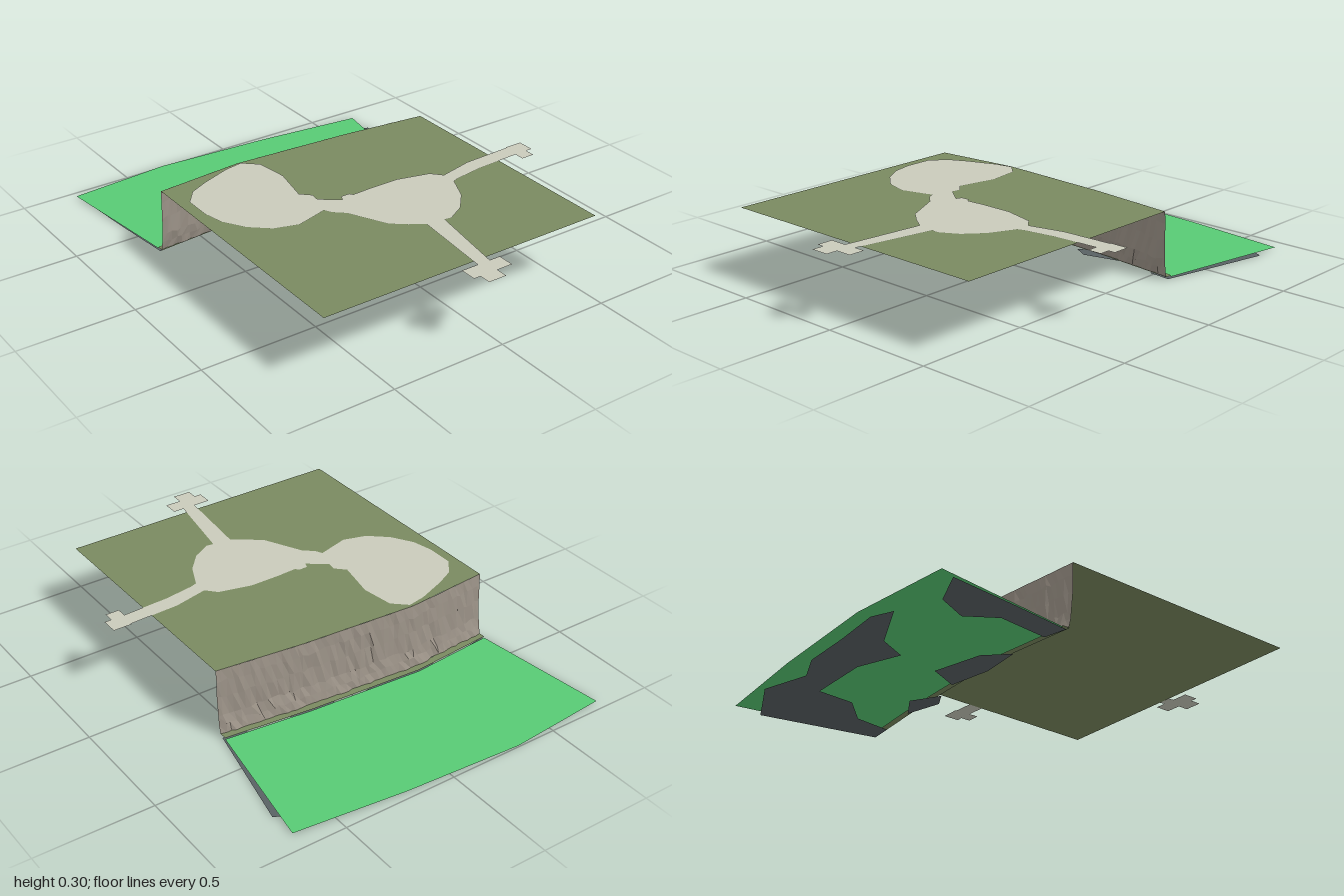
import * as THREE from 'three';

const TOP = 0.295, LEDGE = 0.012;

function material(color, flatShading = false) {
  const m = new THREE.MeshStandardMaterial({ color, side: THREE.DoubleSide });
  m.flatShading = flatShading;
  return m;
}

// flat sheet from an outline of [x, z] points at height y
function sheet(name, outline, y, mat) {
  const shape = new THREE.Shape(outline.map(([x, z]) => new THREE.Vector2(x, -z)));
  const geo = new THREE.ShapeGeometry(shape).rotateX(-Math.PI / 2);
  const mesh = new THREE.Mesh(geo, mat);
  mesh.position.y = y;
  mesh.name = name;
  return mesh;
}

const tile = (x0, x1, z0, z1) => [[x0, z0], [x1, z0], [x1, z1], [x0, z1]];

// top line of the cliff, as x and z
const edge = [[-0.7, -0.3], [-0.32, -0.335], [0.2, -0.305], [0.58, -0.265]];
const shifted = (dz) => edge.map(([x, z]) => [x, z + dz]);

function edgeZ(x) {
  for (let i = 1; i < edge.length; i++) {
    const [x0, z0] = edge[i - 1], [x1, z1] = edge[i];
    if (x <= x1 || i === edge.length - 1) return z0 + (z1 - z0) * (x - x0) / (x1 - x0);
  }
}

// seeded value between -0.5 and 0.5
function makeNoise(seed) {
  return () => {
    seed = (seed * 16807) % 2147483647;
    return seed / 2147483647 - 0.5;
  };
}

// faceted rock face that leans back towards its foot
function cliffGeometry() {
  const cols = 54, rows = [TOP, 0.24, 0.17, 0.09, 0.05, LEDGE], back = [0, 0.003, 0.006, 0.009, 0.018, 0.026];
  const geo = new THREE.PlaneGeometry(1.28, 1, cols, rows.length - 1);
  const pos = geo.attributes.position, noise = makeNoise(17);
  for (let i = 0; i < pos.count; i++) {
    const col = i % (cols + 1), row = Math.floor(i / (cols + 1));
    const inner = col > 0 && col < cols;
    const middle = row > 0 && row < rows.length - 1;
    const x = -0.7 + 1.28 * col / cols + (inner ? noise() * 0.014 : 0);
    const y = rows[row] + (middle ? noise() * 0.015 : 0);
    const z = edgeZ(x) - back[row] + noise() * (row === 0 ? 0.002 : 0.009);
    pos.setXYZ(i, x, y, z);
  }
  geo.computeVertexNormals();
  return geo;
}

export function createModel() {
  const model = new THREE.Group();
  const olive = material(0x7a8a60), green = material(0x58ca74);
  const pale = material(0xc9cabb), rock = material(0x9c9388, true), dark = material(0x596164);

  // upper plateau
  model.add(sheet('plateau', [...edge, [0.58, 0.85], [-0.7, 0.85]], TOP, olive));

  // paved clearings joined by a narrow neck, with two arms leading out
  const paving = new THREE.Group();
  paving.name = 'paving';
  const clearings = [
    [-0.31, -0.325], [-0.39, -0.31], [-0.52, -0.26], [-0.6, -0.22], [-0.655, -0.15], [-0.655, -0.03],
    [-0.635, 0.06], [-0.58, 0.15], [-0.5, 0.22], [-0.4, 0.25], [-0.31, 0.225], [-0.26, 0.21],
    [-0.245, 0.24], [-0.2, 0.28], [-0.16, 0.36], [-0.12, 0.44], [-0.06, 0.49], [0, 0.53],
    [-0.035, 0.88], [0.022, 0.88], [0.08, 0.54], [0.11, 0.545], [0.19, 0.5], [0.26, 0.42],
    [0.31, 0.31], [0.34, 0.3], [0.47, 0.28], [0.68, 0.27], [0.68, 0.2], [0.46, 0.21],
    [0.31, 0.245], [0.27, 0.2], [0.13, 0.165], [0, 0.165], [-0.09, 0.17], [-0.1, 0.155],
    [-0.14, 0.155], [-0.15, 0.18], [-0.23, 0.12], [-0.225, 0.08], [-0.265, 0.04], [-0.23, -0.13], [-0.25, -0.27],
  ];
  const py = TOP + 0.003;
  paving.add(sheet('clearings', clearings, py, pale));
  for (const t of [[0.68, 0.76, 0.195, 0.27], [0.67, 0.73, 0.27, 0.315],
    [-0.11, 0.07, 0.88, 0.95], [-0.08, 0, 0.95, 1]]) {
    paving.add(sheet('pathEnd', tile(...t), py, pale));
  }
  model.add(paving);

  const cliff = new THREE.Mesh(cliffGeometry(), rock);
  cliff.name = 'cliff';
  model.add(cliff);

  // lower ground: narrow ledge at the foot of the cliff, then the green field
  model.add(sheet('ledge', [...shifted(-0.022), ...shifted(-0.055).reverse()], LEDGE, olive));
  model.add(sheet('field', [...shifted(-0.055),
    [0.68, -0.92], [0.2, -0.97], [-0.32, -1], [-0.77, -0.96]], 0.006, green));

  // dark stone showing through beneath the field
  const patches = [
    [[0.58, -0.3], [0.685, -0.8], [0.45, -0.92], [0.24, -0.86], [0.11, -0.92], [-0.11, -0.93], [-0.33, -0.95],
      [-0.42, -0.91], [-0.2, -0.8], [-0.14, -0.68], [0.05, -0.75], [0.33, -0.74], [0.34, -0.58], [0.46, -0.47], [0.48, -0.31]],
    [[0.29, -0.34], [0.18, -0.41], [0.06, -0.34], [0.13, -0.3]],
    [[-0.05, -0.37], [-0.11, -0.5], [-0.33, -0.45], [-0.42, -0.36], [-0.24, -0.34]],
    [[-0.6, -0.36], [-0.62, -0.58], [-0.54, -0.7], [-0.6, -0.83], [-0.755, -0.9], [-0.73, -0.62], [-0.7, -0.34]],
  ];
  patches.forEach((p) => model.add(sheet('underStone', p, 0, dark)));

  return model;
}
